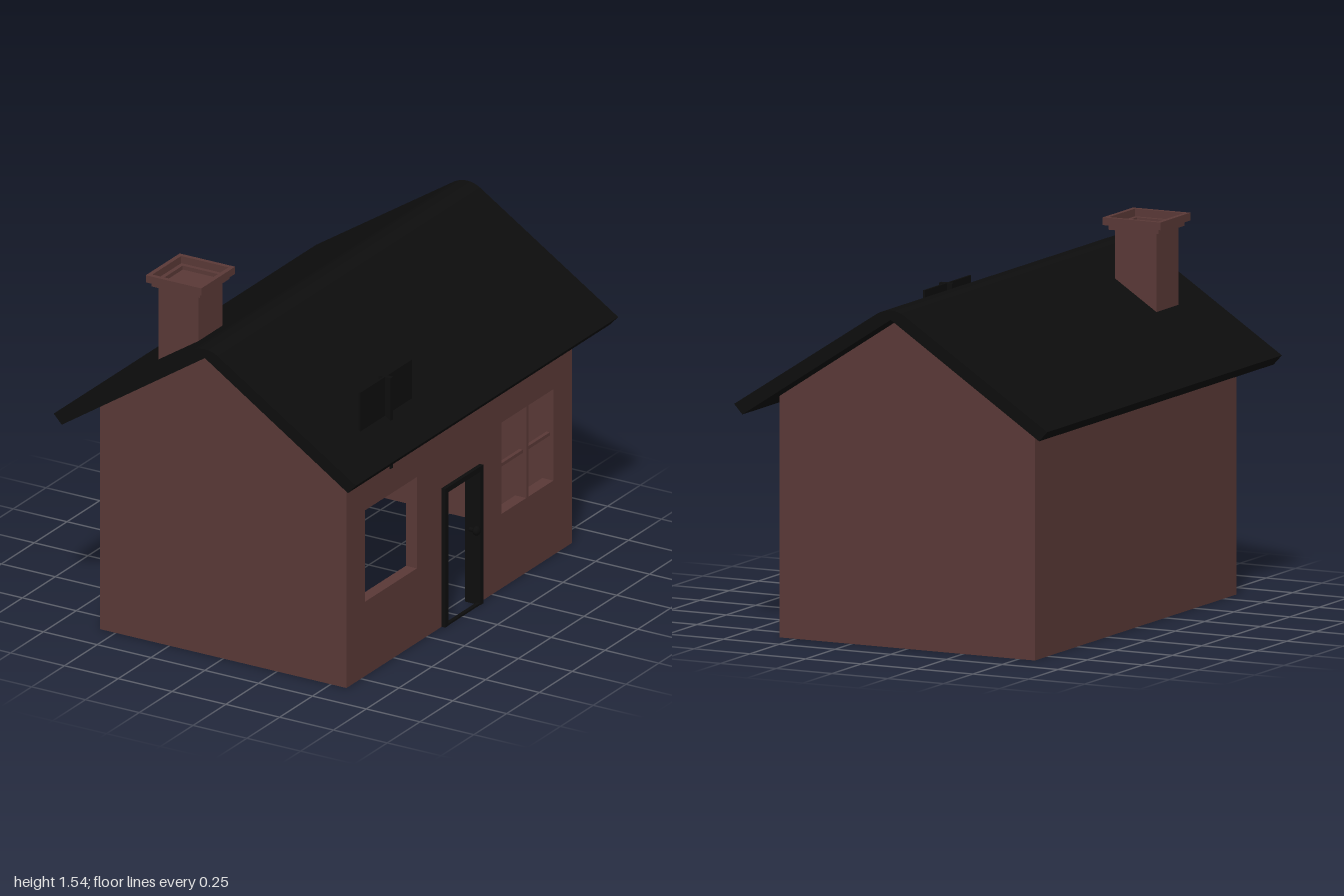
import * as THREE from 'three';

const brick = new THREE.MeshStandardMaterial({ color: 0x5a3937, side: THREE.DoubleSide });
brick.name = 'brick brown';
const black = new THREE.MeshStandardMaterial({ color: 0x0d0d0d, side: THREE.DoubleSide });
black.name = 'charcoal black';

const HX = 0.573, HZ = 0.86, EAVE = 0.972, APEX = 1.347;

function createShape(points) {
  return new THREE.Shape(points.map(([x, y]) => new THREE.Vector2(x, y)));
}

function rect(x0, x1, y0, y1) {
  return [[x0, y0], [x1, y0], [x1, y1], [x0, y1]];
}

export function createModel() {
  const house = new THREE.Group();
  house.name = 'house';

  const add = (name, geometry, material, parent = house) => {
    const mesh = new THREE.Mesh(geometry, material);
    mesh.name = name;
    parent.add(mesh);
    return mesh;
  };
  // Box given by its limits on each axis
  const box = (name, [x0, x1], [y0, y1], [z0, z1], material, parent) => {
    const mesh = add(name, new THREE.BoxGeometry(x1 - x0, y1 - y0, z1 - z0), material, parent);
    mesh.position.set((x0 + x1) / 2, (y0 + y1) / 2, (z0 + z1) / 2);
    return mesh;
  };
  const extrude = (shape, depth) =>
    new THREE.ExtrudeGeometry(shape, { depth, bevelEnabled: false, curveSegments: 8 });

  // Gable walls
  const gable = createShape([[-HX, 0], [HX, 0], [HX, EAVE], [0, APEX], [-HX, EAVE]]);
  add('frontGableWall', new THREE.ShapeGeometry(gable), brick).position.z = HZ;
  const back = add('backGableWall', new THREE.ShapeGeometry(gable), brick);
  back.position.z = -HZ;
  back.rotation.y = Math.PI;

  // Plain side wall
  const plain = add('plainSideWall', new THREE.ShapeGeometry(createShape(rect(-HZ, HZ, 0, EAVE))), brick);
  plain.position.x = -HX;
  plain.rotation.y = -Math.PI / 2;

  // Door side wall, with a doorway notch and two window holes
  const doorWall = createShape([
    [-HZ, 0], [-0.115, 0], [-0.115, 0.58], [0.135, 0.58], [0.135, 0], [HZ, 0], [HZ, EAVE], [-HZ, EAVE],
  ]);
  for (const s of [-1, 1]) {
    doorWall.holes.push(createShape(rect(s * 0.52 - 0.198, s * 0.52 + 0.198, 0.32, 0.715)));
  }
  const doorSide = add('doorSideWall', new THREE.ShapeGeometry(doorWall), brick);
  doorSide.position.x = HX;
  doorSide.rotation.y = Math.PI / 2;

  // Window reveals behind the two holes
  const revealX = [HX - 0.052, HX - 0.001];
  for (const s of [-1, 1]) {
    const reveal = new THREE.Group();
    reveal.name = s > 0 ? 'frontWindowReveal' : 'backWindowReveal';
    house.add(reveal);
    const z0 = s * 0.52 - 0.198, z1 = s * 0.52 + 0.198;
    box('sill', revealX, [0.316, 0.32], [z0, z1], brick, reveal);
    box('lintel', revealX, [0.715, 0.719], [z0, z1], brick, reveal);
    box('jamb', revealX, [0.316, 0.719], [z0 - 0.004, z0], brick, reveal);
    box('jamb', revealX, [0.316, 0.719], [z1, z1 + 0.004], brick, reveal);
  }

  // Cross bars in the back window
  box('windowMullion', [0.52, 0.572], [0.32, 0.715], [-0.528, -0.512], brick);
  box('windowCrossBar', [0.54, 0.556], [0.511, 0.525], [-0.718, -0.322], brick);

  // Raised black window unit standing through the roof
  box('raisedWindowPane', [0.543, 0.551], [0.9, 1.217], [0.325, 0.718], black);
  box('raisedWindowMullion', [0.52, 0.577], [0.825, 1.217], [0.511, 0.531], black);

  // Door frame, threshold and knob
  const frame = createShape([
    [-0.134, 0], [-0.112, 0], [-0.112, 0.576], [0.132, 0.576],
    [0.132, 0], [0.155, 0], [0.155, 0.598], [-0.134, 0.598],
  ]);
  const doorFrame = add('doorFrame', extrude(frame, 0.07), black);
  doorFrame.position.x = 0.52;
  doorFrame.rotation.y = Math.PI / 2;
  box('threshold', [0.572, 0.588], [0, 0.008], [-0.155, 0.134], black);
  const knob = add('doorKnob', new THREE.SphereGeometry(0.02, 12, 8), black);
  knob.position.set(0.594, 0.335, -0.097);
  knob.scale.x = 0.8;
  const stem = add('knobStem', new THREE.CylinderGeometry(0.009, 0.009, 0.03, 10), black);
  stem.position.set(0.577, 0.335, -0.097);
  stem.rotation.z = Math.PI / 2;

  // Roof slab with a rounded ridge
  const roof = new THREE.Shape();
  roof.moveTo(0.665, 0.912);
  roof.lineTo(0.702, 0.952);
  roof.lineTo(0.06, 1.368);
  roof.quadraticCurveTo(0, 1.402, -0.06, 1.368);
  roof.lineTo(-0.702, 0.952);
  roof.lineTo(-0.665, 0.912);
  roof.lineTo(0, APEX);
  add('roof', extrude(roof, 2), black).position.z = -1;

  // Chimney: shaft cut to the roof slope, then two stepped rings
  const chimney = new THREE.Group();
  chimney.name = 'chimney';
  chimney.position.set(-0.277, 0, 0.655);
  house.add(chimney);
  const shaft = createShape([[-0.093, 1.13], [0.093, 1.25], [0.093, 1.488], [-0.093, 1.488]]);
  add('chimneyShaft', extrude(shaft, 0.186), brick, chimney).position.z = -0.093;
  for (const [name, outer, inner, y, h] of [
    ['chimneyCollar', 0.112, 0.092, 1.485, 0.02],
    ['chimneyCap', 0.129, 0.11, 1.505, 0.031],
  ]) {
    const ring = createShape(rect(-outer, outer, -outer, outer));
    ring.holes.push(createShape(rect(-inner, inner, -inner, inner)));
    const mesh = add(name, extrude(ring, h), brick, chimney);
    mesh.rotation.x = -Math.PI / 2;
    mesh.position.y = y;
  }

  return house;
}
